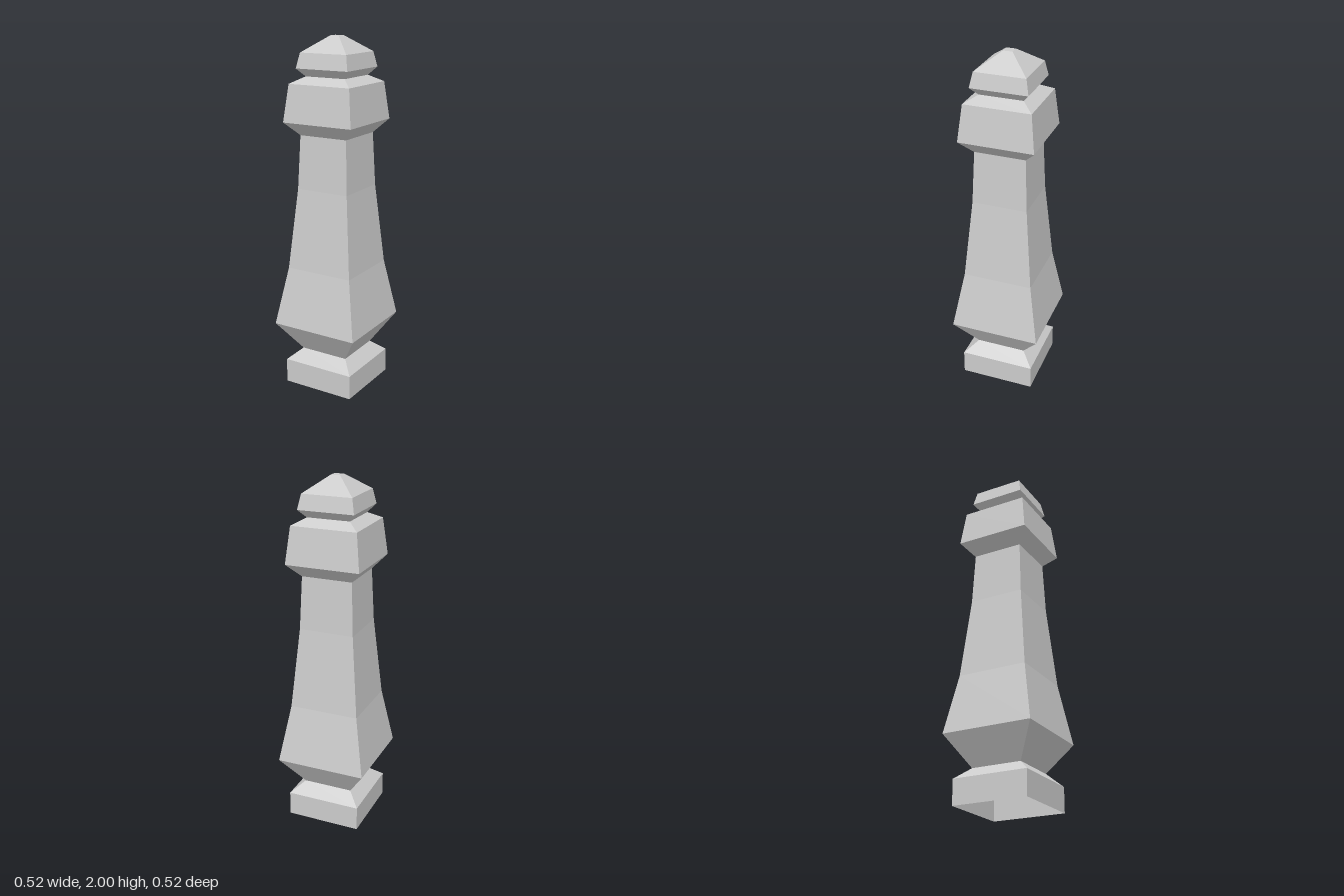
import * as THREE from 'three';

// Square hollow section: profile rows are [half width, height], bottom to top
function squareSection(name, profile, material) {
  const points = profile.map(([half, y]) => new THREE.Vector2(half * Math.SQRT2, y));
  const mesh = new THREE.Mesh(new THREE.LatheGeometry(points, 4, Math.PI / 4), material);
  mesh.name = name;
  return mesh;
}

export function createModel() {
  const group = new THREE.Group();
  group.name = 'squarePost';
  const material = new THREE.MeshStandardMaterial({
    color: 0xcccccc, flatShading: true, side: THREE.DoubleSide,
  });

  // Each section starts on the ring where the one below it ends
  const sections = {
    // plinth, open underneath
    base: [[0.214, 0], [0.214, 0.14], [0.143, 0.203]],
    // flared foot tapering up into the column
    shaft: [[0.143, 0.203], [0.258, 0.375], [0.199, 0.71], [0.157, 1.17], [0.145, 1.47]],
    // wide block with sloped shoulders
    collar: [[0.145, 1.47], [0.212, 1.543], [0.188, 1.75], [0.122, 1.787]],
    // pyramid cap with a small flat top
    finial: [[0.122, 1.787], [0.16, 1.83], [0.143, 1.913], [0.026, 2], [0, 2]],
  };
  for (const [name, profile] of Object.entries(sections)) {
    group.add(squareSection(name, profile, material));
  }
  return group;
}
